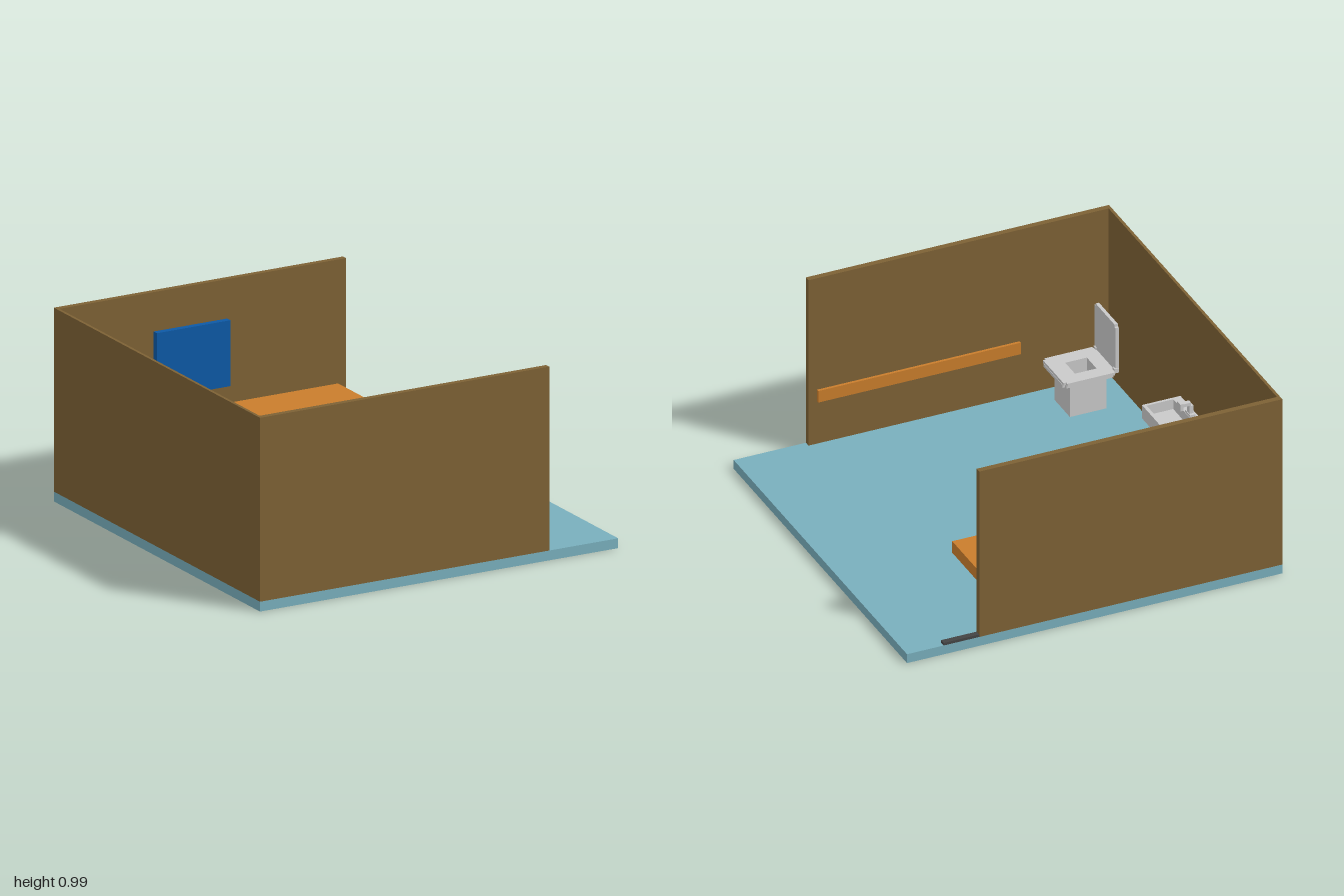
import * as THREE from 'three';

const mat = (name, color) => {
  const m = new THREE.MeshStandardMaterial({ color });
  m.name = name;
  return m;
};

export function createModel() {
  const tile = mat('floorTeal', 0x78afbc);
  const brown = mat('wallBrown', 0x7d6135);
  const orange = mat('benchOrange', 0xc97d2c);
  const blue = mat('cabinetBlue', 0x0d59a5);
  const white = mat('ceramicGrey', 0xc9c9c9);
  const dark = mat('darkGrey', 0x444444);

  const model = new THREE.Group();
  model.name = 'bathroom';

  const group = (name) => {
    const g = new THREE.Group();
    g.name = name;
    model.add(g);
    return g;
  };
  const add = (parent, name, geometry, material) => {
    const mesh = new THREE.Mesh(geometry, material);
    mesh.name = name;
    parent.add(mesh);
    return mesh;
  };
  // Box given by its extents along each axis
  const box = (parent, name, material, [x0, x1], [y0, y1], [z0, z1]) => {
    const mesh = add(parent, name, new THREE.BoxGeometry(x1 - x0, y1 - y0, z1 - z0), material);
    mesh.position.set((x0 + x1) / 2, (y0 + y1) / 2, (z0 + z1) / 2);
    return mesh;
  };
  // Rectangle outline with stepped corners
  const outline = (Type, [a0, a1], [b0, b1], n = 0) => {
    const p = new Type();
    const pts = n
      ? [[a0 + n, b0], [a1 - n, b0], [a1 - n, b0 + n], [a1, b0 + n], [a1, b1 - n], [a1 - n, b1 - n],
        [a1 - n, b1], [a0 + n, b1], [a0 + n, b1 - n], [a0, b1 - n], [a0, b0 + n], [a0 + n, b0 + n]]
      : [[a0, b0], [a1, b0], [a1, b1], [a0, b1]];
    p.setFromPoints(pts.map(([x, y]) => new THREE.Vector2(x, y)));
    p.closePath();
    return p;
  };
  // Horizontal slab with an optional rectangular opening
  const slab = (parent, name, material, xs, [y0, y1], [z0, z1], hole, notch = 0) => {
    const shape = outline(THREE.Shape, xs, [-z1, -z0], notch);
    if (hole) shape.holes.push(outline(THREE.Path, hole[0], [-hole[1][1], -hole[1][0]]));
    const geo = new THREE.ExtrudeGeometry(shape, { depth: y1 - y0, bevelEnabled: false });
    geo.rotateX(-Math.PI / 2).translate(0, y0, 0);
    return add(parent, name, geo, material);
  };

  // Room
  box(model, 'floor', tile, [-1, 1], [0, 0.05], [-1, 1]);
  box(model, 'sideWall', brown, [-1, -0.985], [0.05, 0.985], [-0.97, 0.97]);
  box(model, 'backWall', brown, [-1, 0.615], [0.05, 0.985], [-1, -0.97]);
  box(model, 'frontWall', brown, [-1, 0.615], [0.05, 0.985], [0.97, 1]);
  box(model, 'doorSill', dark, [0.615, 0.805], [0.05, 0.064], [-1, -0.97]);

  // Bench, and the matching rail on the opposite wall
  box(model, 'bench', orange, [-0.51, 0.57], [0.29, 0.355], [-0.97, -0.59]);
  box(model, 'wallRail', orange, [-0.51, 0.57], [0.29, 0.355], [0.955, 0.97]);

  // Wall cabinet
  const cabinet = group('wallCabinet');
  box(cabinet, 'cabinetBody', blue, [-0.46, -0.05], [0.45, 0.785], [-0.97, -0.938]);
  box(cabinet, 'cabinetKnob', white, [-0.263, -0.25], [0.495, 0.508], [-0.938, -0.932]);

  // Slatted waste bin
  const bin = group('wasteBin');
  bin.position.set(-0.82, 0, -0.82);
  for (let i = 0; i < 8; i++) {
    const arm = new THREE.Group();
    arm.name = 'binSlat';
    arm.rotation.y = (i * Math.PI) / 4;
    box(arm, 'slat', dark, [0.057, 0.075], [0.05, 0.245], [-0.027, 0.027]);
    bin.add(arm);
  }
  const base = add(bin, 'binBase', new THREE.CylinderGeometry(0.064, 0.064, 0.02, 8), dark);
  base.position.y = 0.06;
  base.rotation.y = Math.PI / 8;

  // Wash basin with pedestal and tap
  const sink = group('washBasin');
  box(sink, 'sinkPedestal', white, [-0.985, -0.83], [0.05, 0.305], [-0.14, 0.08]);
  box(sink, 'basinBottom', white, [-0.985, -0.78], [0.305, 0.325], [-0.205, 0.143]);
  slab(sink, 'basinRim', white, [-0.985, -0.78], [0.325, 0.38], [-0.205, 0.143],
    [[-0.94, -0.798], [-0.192, 0.128]]);
  box(sink, 'tapBase', white, [-0.97, -0.942], [0.38, 0.392], [-0.062, -0.002]);
  box(sink, 'tapStem', white, [-0.967, -0.945], [0.392, 0.435], [-0.047, -0.017]);
  box(sink, 'tapSpout', white, [-0.955, -0.897], [0.435, 0.452], [-0.045, -0.02]);
  box(sink, 'tapNozzle', white, [-0.912, -0.895], [0.42, 0.458], [-0.05, -0.015]);

  // Toilet with open seat and raised lid
  const toilet = group('toilet');
  const hole = [[-0.8, -0.685], [0.71, 0.822]];
  box(toilet, 'toiletFoot', white, [-0.84, -0.645], [0.05, 0.12], [0.682, 0.858]);
  slab(toilet, 'toiletBowl', white, [-0.84, -0.645], [0.12, 0.24], [0.682, 0.858], hole);
  slab(toilet, 'bowlRim', white, [-0.875, -0.595], [0.24, 0.256], [0.645, 0.895], hole, 0.014);
  slab(toilet, 'toiletSeat', white, [-0.88, -0.597], [0.256, 0.27], [0.638, 0.902], hole, 0.014);
  const lidShape = outline(THREE.Shape, [-0.895, -0.65], [0.27, 0.525], 0.014);
  const lidGeo = new THREE.ExtrudeGeometry(lidShape, { depth: 0.018, bevelEnabled: false });
  lidGeo.rotateY(Math.PI / 2).translate(-0.892, 0, 0);
  add(toilet, 'toiletLid', lidGeo, white);
  for (const z of [0.66, 0.88]) {
    box(toilet, 'lidHinge', white, [-0.892, -0.868], [0.258, 0.282], [z - 0.012, z + 0.012]);
  }

  return model;
}
